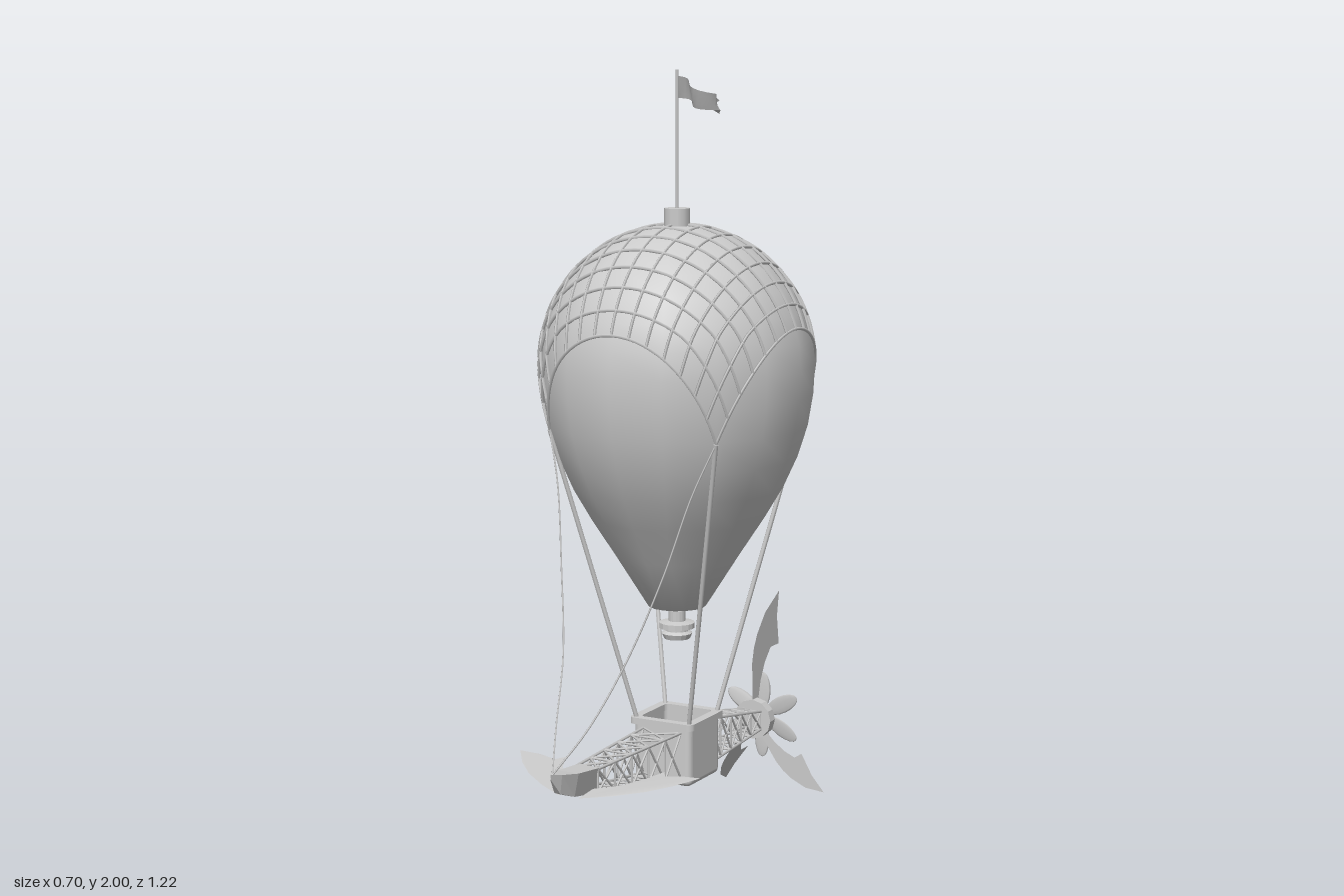
import * as THREE from 'three';
import { mergeGeometries } from 'three/addons/utils/BufferGeometryUtils.js';
import { RoundedBoxGeometry } from 'three/addons/geometries/RoundedBoxGeometry.js';

const V = (x, y, z) => new THREE.Vector3(x, y, z);
const CZ = -0.02; // z of the balloon and basket axis
const SIDES = [-1, 1];
const CORNERS = [[-1, -1], [1, -1], [1, 1], [-1, 1]];

export function createModel() {
  const root = new THREE.Group();
  const solid = new THREE.MeshStandardMaterial({ color: 0xcccccc });
  const faceted = new THREE.MeshStandardMaterial({ color: 0xcccccc, flatShading: true });
  const sheet = new THREE.MeshStandardMaterial({ color: 0xcccccc, side: THREE.DoubleSide });

  function add(name, geometry, material = solid, parent = root) {
    const mesh = new THREE.Mesh(geometry, material);
    mesh.name = name;
    parent.add(mesh);
    return mesh;
  }
  const lathe = (pts, sides) => new THREE.LatheGeometry(pts.map(p => new THREE.Vector2(...p)), sides);
  const flat = pts => new THREE.ShapeGeometry(new THREE.Shape(pts.map(p => new THREE.Vector2(...p))));

  // Straight rod between two points
  function rod(a, b, r, sides = 5) {
    const d = b.clone().sub(a);
    const g = new THREE.CylinderGeometry(r, r, d.length(), sides);
    g.applyQuaternion(new THREE.Quaternion().setFromUnitVectors(V(0, 1, 0), d.normalize()));
    const m = a.clone().add(b).multiplyScalar(0.5);
    return g.translate(m.x, m.y, m.z);
  }

  // Envelope: round crown above a tapering cone, closed at the mouth
  const R = 0.35, EQ = 1.265;
  const lower = [[0, 0.635], [0.075, 0.635], [0.16, 0.77], [0.225, 0.87], [0.272, 0.95], [0.308, 1.03], [0.333, 1.11], [0.346, 1.19]];
  const crown = [];
  for (let i = 0; i <= 8; i++) {
    const a = i / 8 * Math.PI / 2;
    crown.push([R * Math.cos(a), EQ + R * Math.sin(a)]);
  }
  add('envelope', lathe([...lower, ...crown], 16)).position.z = CZ;

  // Point on the envelope at an angle down from the crown
  function onEnvelope(polar, azimuth, lift) {
    let r = R * Math.sin(polar), y = EQ + (R + lift) * Math.cos(polar);
    if (polar > Math.PI / 2) {
      y = EQ - R * (polar - Math.PI / 2);
      const k = (EQ - y) / 0.155;
      r = R - 0.017 * k * k;
    }
    r += lift * Math.min(1, Math.sin(polar));
    return V(r * Math.sin(azimuth), y, r * Math.cos(azimuth) + CZ);
  }
  // Square net draped over the crown, its corners hanging lowest
  function netPoint(u, v) {
    const d = Math.hypot(u, v);
    return onEnvelope(1.265 * d * Math.max(1, d) ** 0.35, Math.atan2(u, v), 0.001);
  }
  const CELLS = 7, net = [];
  for (let i = -CELLS; i <= CELLS; i++) {
    for (const swap of [false, true]) {
      const pts = [];
      for (let j = -14; j <= 14; j++) pts.push(swap ? netPoint(j / 14, i / CELLS) : netPoint(i / CELLS, j / 14));
      net.push(new THREE.TubeGeometry(new THREE.CatmullRomCurve3(pts), 36, 0.0042, 4));
    }
  }
  add('net', mergeGeometries(net));

  // Crown cap, pole and waving swallowtail pennant
  add('crownCap', new THREE.CylinderGeometry(0.033, 0.033, 0.05, 12)).position.set(0, 1.631, CZ);
  add('flagPole', rod(V(0, 1.63, CZ), V(0, 2, CZ), 0.0035, 6));
  const flag = new THREE.PlaneGeometry(1, 1, 16, 4);
  const fp = flag.attributes.position;
  for (let i = 0; i < fp.count; i++) {
    const t = fp.getX(i) + 0.5, s = fp.getY(i);
    const len = 0.255 - 0.05 * Math.max(0, t - 0.7) / 0.3 * (1 - Math.abs(s) * 2);
    fp.setXYZ(i, 0.016 * Math.sin(t * 11 + s) * Math.min(1, t * 3),
      1.957 - 0.062 * t + s * (0.055 - 0.02 * t) + 0.005 * Math.sin(t * 9), CZ - t * len);
  }
  flag.computeVertexNormals();
  add('pennant', flag, sheet);

  // Valve under the mouth
  add('valve', lathe([[0, 0.548], [0.034, 0.548], [0.04, 0.562], [0.03, 0.568], [0.03, 0.574], [0.046, 0.576],
    [0.046, 0.59], [0.022, 0.594], [0.022, 0.622], [0.012, 0.624], [0.012, 0.64]], 16), faceted).position.z = CZ;

  // Basket: rounded square walls, floor and rim
  function roundedSquare(path, h, r) {
    path.moveTo(h - r, -h);
    path.absarc(h - r, r - h, r, -Math.PI / 2, 0);
    path.absarc(h - r, h - r, r, 0, Math.PI / 2);
    path.absarc(r - h, h - r, r, Math.PI / 2, Math.PI);
    path.absarc(r - h, r - h, r, Math.PI, Math.PI * 1.5);
    path.closePath();
    return path;
  }
  function frame(outer, inner, y0, y1) {
    const s = roundedSquare(new THREE.Shape(), outer, 0.016);
    s.holes.push(roundedSquare(new THREE.Path(), inner, 0.012));
    return new THREE.ExtrudeGeometry(s, { depth: y1 - y0, bevelEnabled: false, curveSegments: 5 })
      .rotateX(-Math.PI / 2).translate(0, y0, CZ);
  }
  add('basketWalls', frame(0.083, 0.073, 0.195, 0.335));
  add('basketRim', frame(0.092, 0.069, 0.33, 0.347));
  add('basketFloor', new RoundedBoxGeometry(0.166, 0.036, 0.166, 4, 0.016)).position.set(0, 0.196, CZ);

  // Suspension ropes from the net corners to the basket corners
  add('suspensionRopes', mergeGeometries(CORNERS.map(([x, z]) =>
    rod(netPoint(x, z), V(x * 0.076, 0.34, CZ + z * 0.076), 0.0065, 6))));

  // Slack stay lines from the front net corners to the prow
  add('stayLines', mergeGeometries(SIDES.map(s => new THREE.TubeGeometry(new THREE.CatmullRomCurve3([
    netPoint(s, 1), V(s * 0.19, 0.98, 0.255), V(s * 0.145, 0.79, 0.315), V(s * 0.09, 0.59, 0.4),
    V(s * 0.045, 0.44, 0.51), V(0, 0.343, 0.605)]), 24, 0.0025, 4))));

  // Tapering lattice boom; each end is [z, bottom, top, half width]
  function boom(name, a, b, bays) {
    const parts = [];
    const station = t => {
      const [z, lo, hi, w] = a.map((n, i) => n + (b[i] - n) * t);
      return CORNERS.map(([x, y]) => V(x * w, y < 0 ? lo : hi, z));
    };
    for (let i = 0; i < bays; i++) {
      const p = station(i / bays), q = station((i + 1) / bays);
      for (let k = 0; k < 4; k++) {
        const n = (k + 1) % 4;
        parts.push(rod(p[k], q[k], 0.004), rod(q[k], q[n], 0.003), rod(p[k], q[n], 0.003), rod(p[n], q[k], 0.003));
      }
    }
    add(name, mergeGeometries(parts));
  }
  boom('frontBoom', [0.06, 0.2, 0.32, 0.055], [0.44, 0.26, 0.32, 0.03], 5);
  boom('rearBoom', [-0.1, 0.2, 0.32, 0.055], [-0.455, 0.2, 0.25, 0.025], 5);

  // Prow: lofted sections of [z, keel, deck, half width]
  const sections = [[0.43, 0.255, 0.322, 0.033], [0.53, 0.272, 0.332, 0.029], [0.582, 0.292, 0.34, 0.014], [0.613, 0.334, 0.346, 0.001]];
  const pos = [], idx = [];
  for (const [z, lo, hi, w] of sections) pos.push(-w * 0.6, lo, z, w * 0.6, lo, z, w, hi, z, -w, hi, z);
  for (let s = 0; s < 3; s++) for (let k = 0; k < 4; k++) {
    const a = s * 4 + k, b = s * 4 + (k + 1) % 4;
    idx.push(a, b, b + 4, a, b + 4, a + 4);
  }
  idx.push(0, 2, 1, 0, 3, 2, 12, 13, 14, 12, 14, 15);
  const prow = new THREE.BufferGeometry();
  prow.setAttribute('position', new THREE.Float32BufferAttribute(pos, 3));
  prow.setIndex(idx);
  prow.computeVertexNormals();
  add('prow', prow, new THREE.MeshStandardMaterial({ color: 0xcccccc, flatShading: true, side: THREE.DoubleSide }));

  // Side wings at the prow, outlined as [x, z] and curving gently upward
  const wingOutline = [[0.028, 0.53], [0.1, 0.49], [0.165, 0.445], [0.215, 0.395], [0.258, 0.335], [0.205, 0.325],
    [0.158, 0.332], [0.14, 0.302], [0.118, 0.36], [0.08, 0.42], [0.028, 0.46]];
  for (const s of SIDES) {
    const g = flat(wingOutline.map(([x, z]) => [s * x, -z])).rotateX(-Math.PI / 2);
    const p = g.attributes.position;
    for (let i = 0; i < p.count; i++) p.setY(i, 0.278 + 0.25 * p.getX(i) ** 2 + 0.08 * (0.42 - p.getZ(i)));
    g.computeVertexNormals();
    add(s > 0 ? 'leftWing' : 'rightWing', g, sheet);
  }

  // Tail: hub, three swept fins and a six-bladed propeller
  const tail = new THREE.Group();
  tail.name = 'tail';
  tail.position.set(0, 0.225, 0);
  root.add(tail);
  add('tailHub', new THREE.CylinderGeometry(0.055, 0.055, 0.028, 12).rotateX(Math.PI / 2), faceted, tail).position.z = -0.467;
  add('propellerShaft', rod(V(0, 0, -0.46), V(0, 0, -0.522), 0.012, 8), solid, tail);

  // Fin outline as [distance back, height]
  const finOutline = [[0, 0.05], [-0.002, 0.16], [0.008, 0.2], [0.028, 0.235], [0.075, 0.285], [0.16, 0.33], [0.148, 0.26],
    [0.16, 0.18], [0.11, 0.18], [0.075, 0.145], [0.05, 0.1], [0.036, 0.05]];
  const finGeometry = flat(finOutline).rotateY(Math.PI / 2);
  for (const [name, angle, sy, sz] of [['topFin', 0, 1, 1], ['lowerLeftFin', Math.PI + 0.6, 0.82, 0.87], ['lowerRightFin', Math.PI - 0.6, 0.82, 0.87]]) {
    const fin = add(name, finGeometry, sheet, tail);
    fin.position.z = -0.452;
    fin.rotation.z = angle;
    fin.scale.set(1, sy, sz);
  }

  const blade = new THREE.SphereGeometry(1, 10, 8).scale(0.024, 0.052, 0.003).rotateY(0.15).translate(0, 0.069, 0);
  for (let i = 0; i < 6; i++) {
    const b = add('propellerBlade', blade, solid, tail);
    b.position.z = -0.513;
    b.rotation.z = i * Math.PI / 3;
  }
  return root;
}
